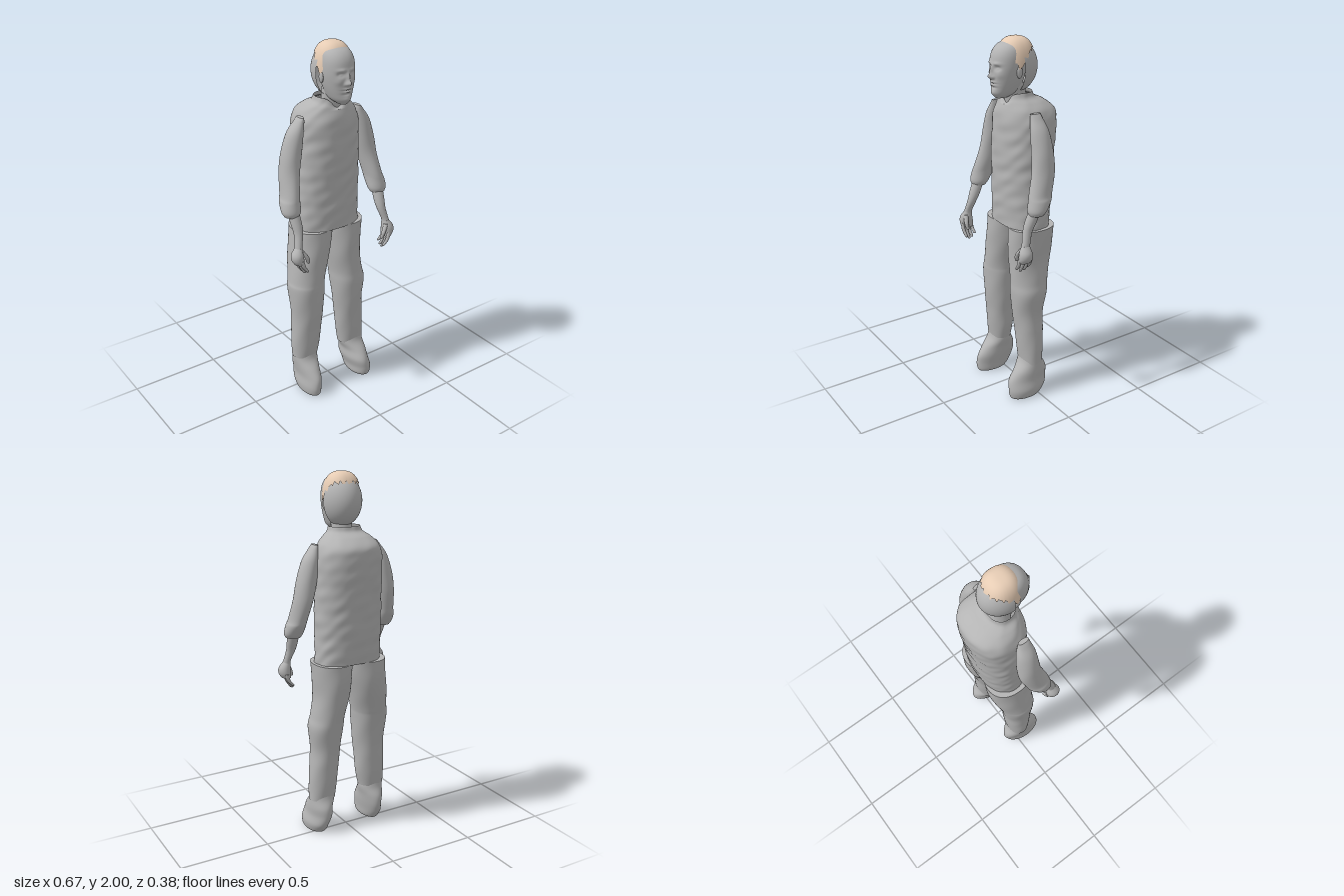
import * as THREE from 'three';

const grey = new THREE.MeshStandardMaterial({ color: 0xb4b4b4, side: THREE.DoubleSide });
grey.name = 'plain grey';
const tan = new THREE.MeshStandardMaterial({ color: 0xe6ccb4, side: THREE.DoubleSide });
tan.name = 'hair tan';

const V = (x, y, z) => new THREE.Vector3(x, y, z);
const gauss = (d, s) => Math.exp(-(d * d) / (s * s));
const spow = (c, n) => Math.sign(c) * Math.pow(Math.abs(c), 2 / n);

// Closed-around grid surface: f(angle, v) with v running from bottom to top
function grid(f, nu, nv, caps = false) {
  const pos = [], idx = [];
  for (let j = 0; j <= nv; j++)
    for (let i = 0; i < nu; i++) pos.push(...f((i / nu) * Math.PI * 2, j / nv).toArray());
  for (let j = 0; j < nv; j++)
    for (let i = 0; i < nu; i++) {
      const a = j * nu + i, b = j * nu + (i + 1) % nu;
      idx.push(a, a + nu, b, b, a + nu, b + nu);
    }
  if (caps) for (const v of [0, 1]) {
    const base = pos.length / 3, c = V(0, 0, 0);
    for (let i = 0; i < nu; i++) {
      const p = f((i / nu) * Math.PI * 2, v);
      c.addScaledVector(p, 1 / nu);
      pos.push(...p.toArray());
    }
    pos.push(...c.toArray());
    for (let i = 0; i < nu; i++) {
      const a = base + i, b = base + (i + 1) % nu;
      if (v) idx.push(base + nu, b, a); else idx.push(base + nu, a, b);
    }
  }
  const g = new THREE.BufferGeometry();
  g.setAttribute('position', new THREE.Float32BufferAttribute(pos, 3));
  g.setIndex(idx);
  g.computeVertexNormals();
  return g;
}

// Smooth loft through sections [y, centreX, centreZ, radiusX, radiusZ], bottom first
function loft(sections, { nu = 40, nv = 40, power = 2, caps = true, wrinkle, shape } = {}) {
  const mid = new THREE.CatmullRomCurve3(sections.map(s => V(s[1], s[0], s[2])), false, 'catmullrom');
  const rad = new THREE.CatmullRomCurve3(sections.map(s => V(s[3], 0, s[4])), false, 'catmullrom');
  return grid((a, v) => {
    const c = mid.getPoint(v), r = rad.getPoint(v);
    const k = wrinkle ? 1 + wrinkle(a, c.y) : 1;
    const p = V(c.x + r.x * k * spow(Math.cos(a), power), c.y, c.z + r.z * k * spow(Math.sin(a), power));
    if (shape) shape(p, a);
    return p;
  }, nu, nv, caps);
}

// Cloth folds as small radial waves
const shirtFolds = (a, y) => 0.012 * Math.sin(48 * y + 2.5 * Math.sin(3 * a + 7 * y)) * Math.sin(4 * a + 9 * y)
  + 0.008 * Math.sin(75 * y + 5 * a) * Math.cos(3 * a - 13 * y);
const clothFolds = (a, y) => 0.012 * Math.sin(26 * y + 2 * a) * Math.sin(2 * a + 5 * y);

// Raised and sunken face features pushed along z
function faceFeatures(p, a) {
  const front = Math.max(0, Math.sin(a));
  if (front === 0) return;
  const x = p.x - 0.01, ax = Math.abs(x), y = p.y;
  const spot = (px, py, sx, sy, d) => d * gauss(ax - px, sx) * gauss(y - py, sy);
  let d = spot(0, 1.812, 0.013, 0.014, 0.024);         // nose tip
  d += spot(0, 1.843, 0.009, 0.026, 0.013);            // nose bridge
  d += spot(0.015, 1.808, 0.007, 0.008, 0.007);        // nostrils
  d += spot(0.034, 1.855, 0.017, 0.011, -0.013);       // eye sockets
  d += spot(0.034, 1.853, 0.010, 0.006, 0.006);        // eyeballs
  d += spot(0.032, 1.877, 0.022, 0.008, 0.006);        // brows
  d += spot(0.048, 1.82, 0.018, 0.018, 0.004);         // cheeks
  d += spot(0, 1.783, 0.021, 0.006, 0.008);            // upper lip
  d += spot(0, 1.768, 0.018, 0.006, 0.007);            // lower lip
  d += spot(0, 1.7755, 0.026, 0.0035, -0.006);         // mouth line
  d += spot(0, 1.755, 0.025, 0.006, -0.005);           // dip under the lip
  d += spot(0, 1.728, 0.022, 0.015, 0.006);            // chin
  p.z += d * Math.min(1, front * 1.5);
}

export function createModel() {
  const model = new THREE.Group();
  model.name = 'standingMan';
  const add = (name, geo, mat = grey, parent = model) => {
    const m = new THREE.Mesh(geo, mat);
    m.name = name;
    parent.add(m);
    return m;
  };

  // Head
  add('face', loft([
    [1.698, 0.01, 0.105, 0.022, 0.035], [1.72, 0.01, 0.085, 0.047, 0.07], [1.75, 0.01, 0.078, 0.062, 0.08],
    [1.80, 0.01, 0.07, 0.077, 0.09], [1.86, 0.01, 0.065, 0.086, 0.095], [1.92, 0.01, 0.057, 0.084, 0.092],
    [1.96, 0.01, 0.045, 0.068, 0.074], [1.985, 0.01, 0.035, 0.03, 0.03]],
  { nu: 112, nv: 96, power: 2.15, shape: faceFeatures }));
  const skull = add('backOfHead', new THREE.SphereGeometry(1, 40, 32, Math.PI, Math.PI));
  skull.scale.set(0.104, 0.136, 0.127);
  skull.position.set(0.011, 1.85, 0.03);
  for (const s of [-1, 1]) {
    const ear = add(s > 0 ? 'leftEar' : 'rightEar', new THREE.SphereGeometry(1, 16, 12));
    ear.scale.set(0.009, 0.03, 0.017);
    ear.position.set(0.01 + s * 0.086, 1.832, 0.052);
  }
  add('neck', loft([[1.58, 0.01, 0, 0.07, 0.06], [1.68, 0.01, 0.02, 0.056, 0.058],
    [1.77, 0.01, 0.035, 0.056, 0.06]], { nu: 32, nv: 12 }));

  // Hair: cap with a ragged fringe, hanging lower at the temples
  add('hair', grid((a, v) => {
    const s = Math.sin(a);
    const jag = 0.007 * Math.sin(17 * a) + 0.005 * Math.sin(31 * a + 1);
    const temple = gauss(s - 0.25, 0.42);
    const edge = 1.945 - 0.09 * temple + jag;
    const y = 2 - (2 - edge) * (1 - v) ** 2;
    const h = Math.max(0, (y - 1.83) / 0.17);
    const r = Math.pow(Math.max(0, 1 - h ** 2.7), 1 / 2.7);
    return V(0.012 + 0.098 * r * spow(Math.cos(a), 2.3), y, 0.022 + 0.1 * r * spow(s, 2.3));
  }, 96, 24), tan);

  // Shirt body, with a notch at the front of the collar
  add('shirt', loft([
    [1.00, 0, -0.015, 0.188, 0.125], [1.10, 0, -0.019, 0.184, 0.132], [1.20, 0.001, -0.022, 0.184, 0.137],
    [1.30, 0.002, -0.024, 0.184, 0.141], [1.40, 0.004, -0.027, 0.183, 0.146], [1.50, 0.006, -0.034, 0.18, 0.15],
    [1.58, 0.007, -0.038, 0.177, 0.15], [1.63, 0.007, -0.038, 0.16, 0.14], [1.67, 0.007, -0.02, 0.125, 0.11],
    [1.695, 0.007, 0.002, 0.095, 0.078], [1.722, 0.007, 0.006, 0.084, 0.068]],
  {
    nu: 96, nv: 96, power: 2.3, caps: false, wrinkle: shirtFolds,
    shape: (p, a) => {
      if (Math.sin(a) > 0 && p.y > 1.66) p.y -= 0.9 * (p.y - 1.66) * gauss(p.x - 0.007, 0.04);
    },
  }));

  // Arms: sleeve, forearm, palm, fingers and thumb, mirrored
  for (const s of [-1, 1]) {
    const arm = new THREE.Group();
    arm.name = s > 0 ? 'leftArm' : 'rightArm';
    model.add(arm);
    const mirror = rows => rows.map(([y, x, ...r]) => [y, s * x, ...r]);
    add('sleeve', loft(mirror([
      [1.14, 0.28, 0.075, 0.042, 0.04], [1.165, 0.28, 0.068, 0.052, 0.052], [1.21, 0.276, 0.05, 0.051, 0.062],
      [1.245, 0.268, 0.04, 0.047, 0.064], [1.35, 0.25, 0.012, 0.051, 0.064], [1.45, 0.232, 0.006, 0.053, 0.058],
      [1.55, 0.21, 0.008, 0.043, 0.05], [1.61, 0.187, 0.012, 0.024, 0.036], [1.635, 0.178, 0.014, 0.012, 0.03]]),
    { nu: 40, nv: 48, wrinkle: clothFolds }), grey, arm);
    add('forearm', loft(mirror([
      [0.96, 0.288, 0.147, 0.022, 0.027], [0.99, 0.287, 0.142, 0.019, 0.023], [1.05, 0.273, 0.124, 0.024, 0.026],
      [1.10, 0.272, 0.104, 0.029, 0.031], [1.17, 0.276, 0.075, 0.031, 0.032]]), { nu: 24, nv: 20 }), grey, arm);
    add('palm', loft(mirror([
      [0.895, 0.29, 0.15, 0.026, 0.034], [0.92, 0.298, 0.15, 0.033, 0.038], [0.95, 0.298, 0.15, 0.032, 0.035],
      [0.985, 0.288, 0.145, 0.018, 0.022]]), { nu: 24, nv: 16 }), grey, arm);
    for (let i = 0; i < 4; i++) {
      const z = 0.18 - i * 0.02, len = [0.062, 0.075, 0.07, 0.055][i];
      add('finger' + (i + 1), loft(mirror([
        [0.905 - len, 0.253 + i * 0.004, z - 0.004, 0.004, 0.004], [0.912 - len, 0.256 + i * 0.004, z - 0.003, 0.009, 0.008],
        [0.905 - len * 0.4, 0.278 + i * 0.004, z, 0.011, 0.0095], [0.92, 0.29 + i * 0.003, z - 0.002, 0.012, 0.011]]),
      { nu: 12, nv: 12 }), grey, arm);
    }
    add('thumb', loft(mirror([
      [0.89, 0.244, 0.172, 0.004, 0.004], [0.898, 0.246, 0.172, 0.009, 0.009], [0.93, 0.256, 0.174, 0.012, 0.012],
      [0.968, 0.28, 0.162, 0.013, 0.013]]), { nu: 12, nv: 12 }), grey, arm);
  }

  // Trouser legs, standing slightly apart and uneven
  add('rightTrouserLeg', loft([
    [0.215, -0.172, 0.015, 0.074, 0.06], [0.30, -0.165, 0.015, 0.083, 0.069], [0.40, -0.16, 0.016, 0.086, 0.078],
    [0.50, -0.155, 0.018, 0.09, 0.086], [0.65, -0.154, 0.01, 0.101, 0.1], [0.70, -0.148, 0.004, 0.1, 0.105],
    [0.80, -0.13, -0.008, 0.105, 0.118], [0.90, -0.111, -0.015, 0.109, 0.125], [1.00, -0.1, -0.018, 0.112, 0.128]],
  { nu: 56, nv: 64, power: 2.15, wrinkle: clothFolds }));
  add('leftTrouserLeg', loft([
    [0.195, 0.148, 0.015, 0.076, 0.06], [0.30, 0.14, 0.015, 0.08, 0.069], [0.40, 0.132, 0.016, 0.082, 0.077],
    [0.50, 0.123, 0.018, 0.083, 0.085], [0.62, 0.123, 0.012, 0.094, 0.1], [0.69, 0.115, 0.004, 0.09, 0.105],
    [0.80, 0.1, -0.008, 0.092, 0.118], [0.90, 0.098, -0.015, 0.099, 0.125], [1.00, 0.1, -0.018, 0.107, 0.128]],
  { nu: 56, nv: 64, power: 2.15, wrinkle: clothFolds }));

  // Shoes: rounded toe and heel narrowing into the ankle
  const shoe = (name, x0, x1, x2, r0, r1) => add(name, loft([
    [0, x0, 0.065, r0 * 0.88, 0.092], [0.015, x0, 0.062, r0, 0.101], [0.05, x0, 0.052, r0 * 1.06, 0.114],
    [0.10, x1, 0.041, r0 * 1.08, 0.118], [0.15, x1, 0.026, r1 * 0.9, 0.102],
    [0.20, x2, 0.017, r1, 0.07], [0.25, x2, 0.015, r1 * 0.95, 0.055]],
  { nu: 48, nv: 40, wrinkle: clothFolds }));
  shoe('rightShoe', -0.18, -0.174, -0.172, 0.053, 0.07);
  shoe('leftShoe', 0.17, 0.158, 0.148, 0.06, 0.072);

  return model;
}
